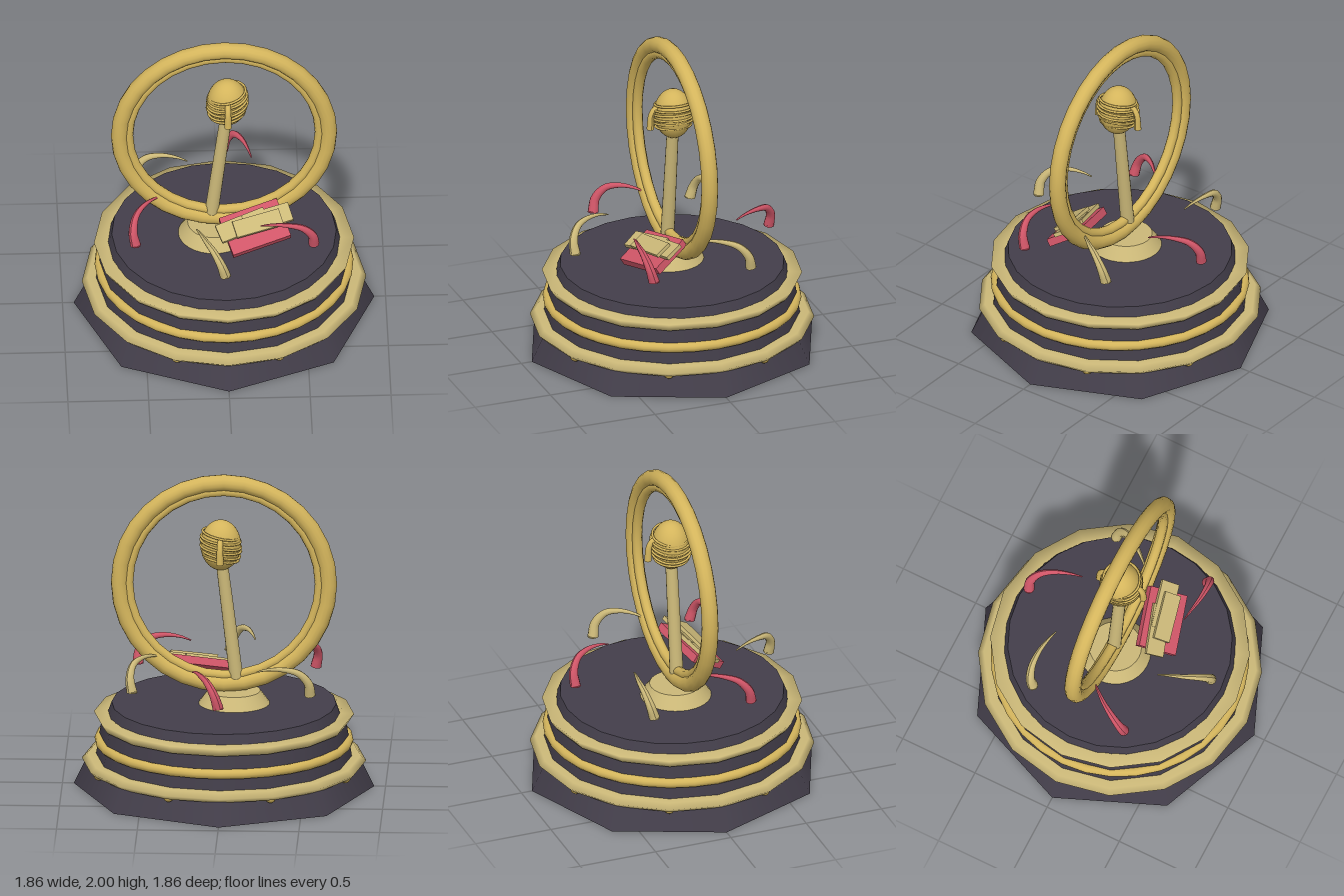
import * as THREE from 'three';

const mat = (name, color) => Object.assign(new THREE.MeshStandardMaterial({ color }), { name });

export function createModel() {
  const model = new THREE.Group();
  model.name = 'trophy';
  const gold = mat('gold', 0xd4b55c);
  const paleGold = mat('pale gold', 0xcbb878);
  const dark = mat('dark stone', 0x433e4a);
  const red = mat('rose red', 0xcf5567);

  const add = (name, geometry, material, x = 0, y = 0, z = 0, parent = model) => {
    const mesh = new THREE.Mesh(geometry, material);
    mesh.name = name;
    mesh.position.set(x, y, z);
    parent.add(mesh);
    return mesh;
  };
  const frustum = (name, rTop, rBottom, y0, y1, sides, material, x = 0) =>
    add(name, new THREE.CylinderGeometry(rTop, rBottom, y1 - y0, sides), material, x, (y0 + y1) / 2);
  const v3 = (x, y, z) => new THREE.Vector3(x, y, z);

  // Round tube along points, tapering from r0 to r1, with pinched caps
  const taperedTube = (points, r0, r1, segments = 18, sides = 10) => {
    const curve = new THREE.CatmullRomCurve3(points);
    const geo = new THREE.TubeGeometry(curve, segments, 1, sides);
    const pos = geo.attributes.position, p = v3(0, 0, 0), c = v3(0, 0, 0);
    for (let i = 0; i < pos.count; i++) {
      const t = Math.floor(i / (sides + 1)) / segments;
      curve.getPointAt(t, c);
      p.fromBufferAttribute(pos, i).sub(c).multiplyScalar(r0 + (r1 - r0) * t).add(c);
      pos.setXYZ(i, p.x, p.y, p.z);
    }
    geo.computeVertexNormals();
    return geo;
  };

  // Stepped base: octagonal foot and two round tiers
  frustum('foot', 0.86, 0.93, 0, 0.145, 8, dark);
  frustum('lowerTier', 0.755, 0.80, 0.14, 0.43, 16, dark);
  frustum('upperTier', 0.695, 0.735, 0.42, 0.53, 24, dark);

  // Gold bands around the base
  const band = (name, profile) => add(name, new THREE.LatheGeometry(
    profile.map(([r, y]) => new THREE.Vector2(r, y)), 16), paleGold);
  band('lowerBand', [[0.72, 0.135], [0.85, 0.135], [0.88, 0.165], [0.845, 0.195], [0.72, 0.195]]);
  band('upperBand', [[0.70, 0.41], [0.77, 0.41], [0.805, 0.465], [0.715, 0.47]]);
  add('middleBand', new THREE.TorusGeometry(0.77, 0.031, 12, 32), gold, 0, 0.296, 0).rotation.x = Math.PI / 2;

  // Studs under the lower band
  for (let i = 0; i < 8; i++) {
    const a = (i + 0.5) * Math.PI / 4;
    add('stud', new THREE.SphereGeometry(0.034, 12, 8), gold, 0.825 * Math.cos(a), 0.147, 0.825 * Math.sin(a));
  }

  // Pedestal and large upright ring
  frustum('pedestal', 0.162, 0.22, 0.53, 0.61, 32, paleGold, -0.063);
  add('outerRing', new THREE.TorusGeometry(0.648, 0.052, 14, 32), gold, 0, 1.3, 0);
  add('innerRing', new THREE.TorusGeometry(0.593, 0.031, 10, 32), gold, 0, 1.3, 0);

  // Leaning staff
  const foot = v3(-0.083, 0.64, 0), top = v3(0.013, 1.43, 0);
  const dir = top.clone().sub(foot);
  const staff = add('staff', new THREE.CylinderGeometry(0.037, 0.043, dir.length(), 16), paleGold);
  staff.position.copy(foot).add(top).multiplyScalar(0.5);
  staff.quaternion.setFromUnitVectors(v3(0, 1, 0), dir.normalize());

  // Head with wound wires and two curved handles
  const head = new THREE.Group();
  head.name = 'head';
  head.position.set(0.02, 1.547, 0);
  model.add(head);
  add('headBall', new THREE.SphereGeometry(1, 24, 18), gold, 0, 0, 0, head).scale.set(0.126, 0.16, 0.118);
  for (let i = 0; i < 6; i++) {
    const y = -0.08 + i * 0.03;
    const r = 0.126 * Math.sqrt(1 - (y / 0.16) ** 2) + 0.002;
    const wire = add('wire', new THREE.TorusGeometry(r, 0.008, 6, 28), gold, 0, y, 0, head);
    wire.rotation.set(Math.PI / 2, 0.16 + 0.05 * (i % 2), 0);
  }
  for (const s of [-1, 1]) {
    const path = [v3(0, 0.05, 0.09 * s), v3(0, 0.05, 0.118 * s), v3(0, 0.015, 0.143 * s), v3(0, -0.083, 0.152 * s)];
    add('handle', taperedTube(path, 0.016, 0.023), gold, 0, 0, 0, head);
    add('handleEnd', new THREE.CylinderGeometry(0.022, 0.022, 0.006, 10), gold, 0, -0.082, 0.152 * s, head);
  }

  // Six arching petals, alternating colours
  const arch = [v3(0.545, 0.68, 0.33), v3(0.535, 0.76, 0.352), v3(0.475, 0.83, 0.368),
    v3(0.38, 0.853, 0.367), v3(0.28, 0.847, 0.35), v3(0.215, 0.828, 0.335)];
  const petalGeo = taperedTube(arch, 0.034, 0.004, 24);
  for (let i = 0; i < 6; i++) {
    const material = i % 2 ? paleGold : red;
    const petal = new THREE.Group();
    petal.name = 'petal';
    petal.rotation.y = i * Math.PI / 3;
    model.add(petal);
    add('petalArch', petalGeo, material, 0, 0, 0, petal);
    add('petalEnd', new THREE.CylinderGeometry(0.034, 0.034, 0.006, 10), material, 0.545, 0.682, 0.33, petal);
  }

  // Tilted stack of slabs leaning on the pedestal
  const stack = new THREE.Group();
  stack.name = 'slabStack';
  const ax = v3(0.36, 0.07, -0.10).normalize();
  const az = v3(0.06, -0.11, 0.18).normalize();
  const ay = az.clone().cross(ax).normalize();
  az.crossVectors(ax, ay);
  stack.quaternion.setFromRotationMatrix(new THREE.Matrix4().makeBasis(ax, ay, az));
  stack.position.set(0.185, 0.705, 0.195);
  model.add(stack);
  const slab = (name, size, at, material, turn = 0) => {
    add(name, new THREE.BoxGeometry(...size), material, ...at, stack).rotation.y = turn;
  };
  slab('redSlab', [0.38, 0.05, 0.26], [0, 0, 0], red);
  slab('leftPlate', [0.32, 0.025, 0.12], [-0.07, 0.037, -0.03], paleGold, 0.04);
  slab('rightPlate', [0.3, 0.025, 0.12], [0.09, 0.04, -0.02], paleGold, -0.05);
  slab('topPlate', [0.3, 0.022, 0.11], [0.02, 0.062, 0.0], paleGold, -0.06);

  return model;
}
